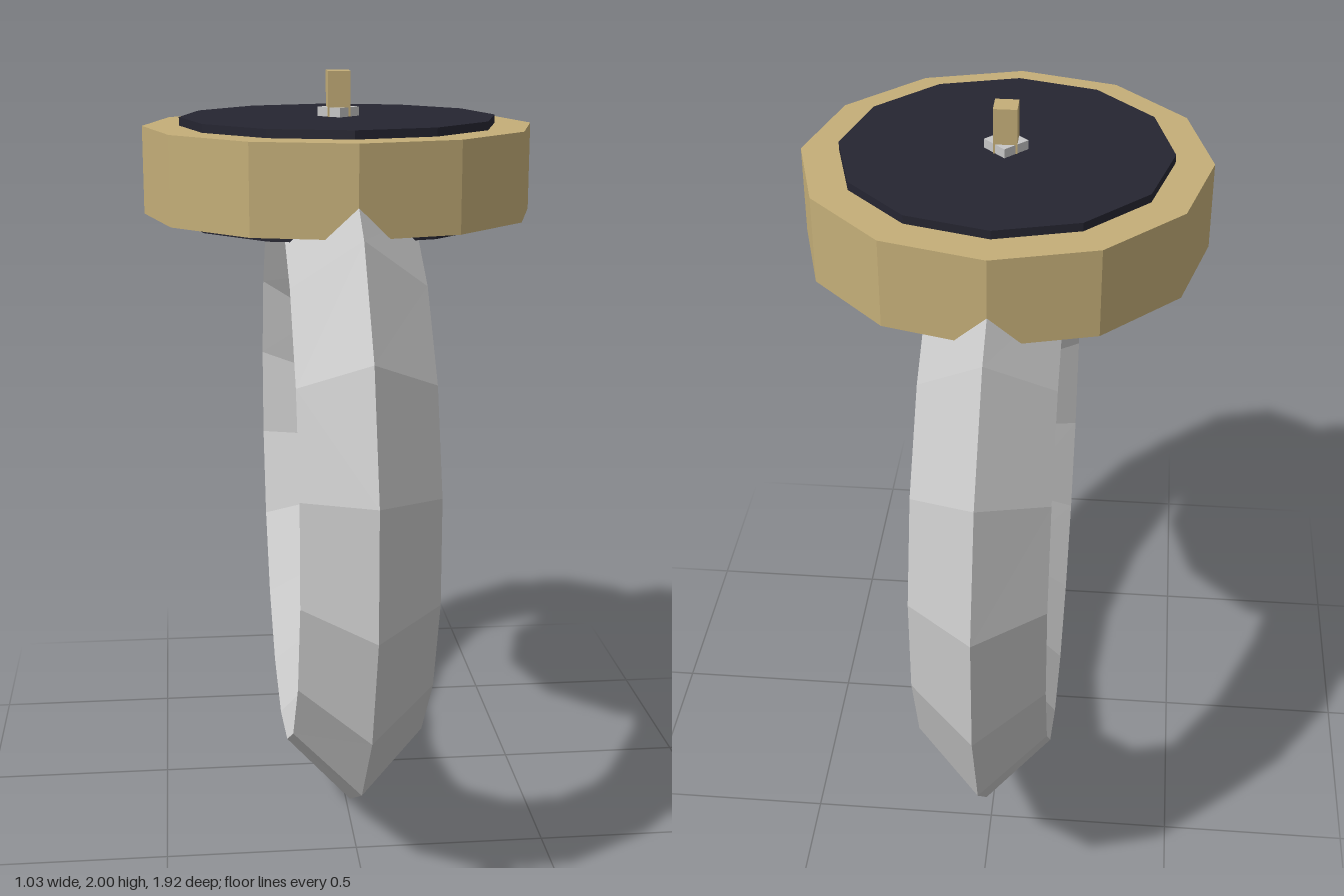
import * as THREE from 'three';

const mat = (name, color) => {
  const m = new THREE.MeshStandardMaterial({ color, flatShading: true });
  m.name = name;
  return m;
};

// Faceted band: diamond sections around an ellipse, with four quarter-turn twists
function bandGeometry() {
  const steps = 18, centreY = 0.935, half = 0.167;
  const twists = { 3: -1, 5: -1, 12: 1, 14: 1 };
  // corner order: outer, left, inner, right
  const corner = (j, k) => {
    const a = (j / steps) * Math.PI * 2;
    k = (k + 4) % 4;
    const rz = [0.975, 0.81, 0.645, 0.81][k];
    const ry = [0.93, 0.76, 0.59, 0.76][k];
    const x = [0, half, 0, -half][k];
    return [x, centreY - ry * Math.cos(a), rz * Math.sin(a)];
  };
  const points = [];
  for (let j = 0; j < steps; j++) {
    const t = twists[j] || 0;
    for (let k = 0; k < 4; k++) {
      const a = corner(j, k), b = corner(j, k + 1);
      const c = corner(j + 1, k + 1 + t), d = corner(j + 1, k + t);
      if (t > 0) points.push(...a, ...b, ...d, ...b, ...c, ...d);
      else points.push(...a, ...b, ...c, ...a, ...c, ...d);
    }
  }
  const g = new THREE.BufferGeometry();
  g.setAttribute('position', new THREE.Float32BufferAttribute(points, 3));
  g.computeVertexNormals();
  return g;
}

export function createModel() {
  const group = new THREE.Group();
  group.name = 'ring';
  const silver = mat('silver', 0xc6c6c6);
  const gold = mat('gold', 0xc4ae78);
  const navy = mat('dark navy', 0x252531);

  const add = (name, geometry, material, y = 0) => {
    const mesh = new THREE.Mesh(geometry, material);
    mesh.name = name;
    mesh.position.y = y;
    group.add(mesh);
  };
  // Upright prism between two heights
  const prism = (name, radius, y0, y1, sides, material) =>
    add(name, new THREE.CylinderGeometry(radius, radius, y1 - y0, sides), material, (y0 + y1) / 2);

  add('band', bandGeometry(), silver);

  // Round head with a dark disc showing on both faces
  prism('bezel', 0.517, 1.63, 1.86, 12, gold);
  prism('disc', 0.42, 1.607, 1.882, 12, navy);

  // Small centre pin on a diamond collar
  prism('pinCollar', 0.055, 1.87, 1.906, 4, silver);
  add('pin', new THREE.BoxGeometry(0.06, 0.13, 0.06), gold, 1.935);

  return group;
}
